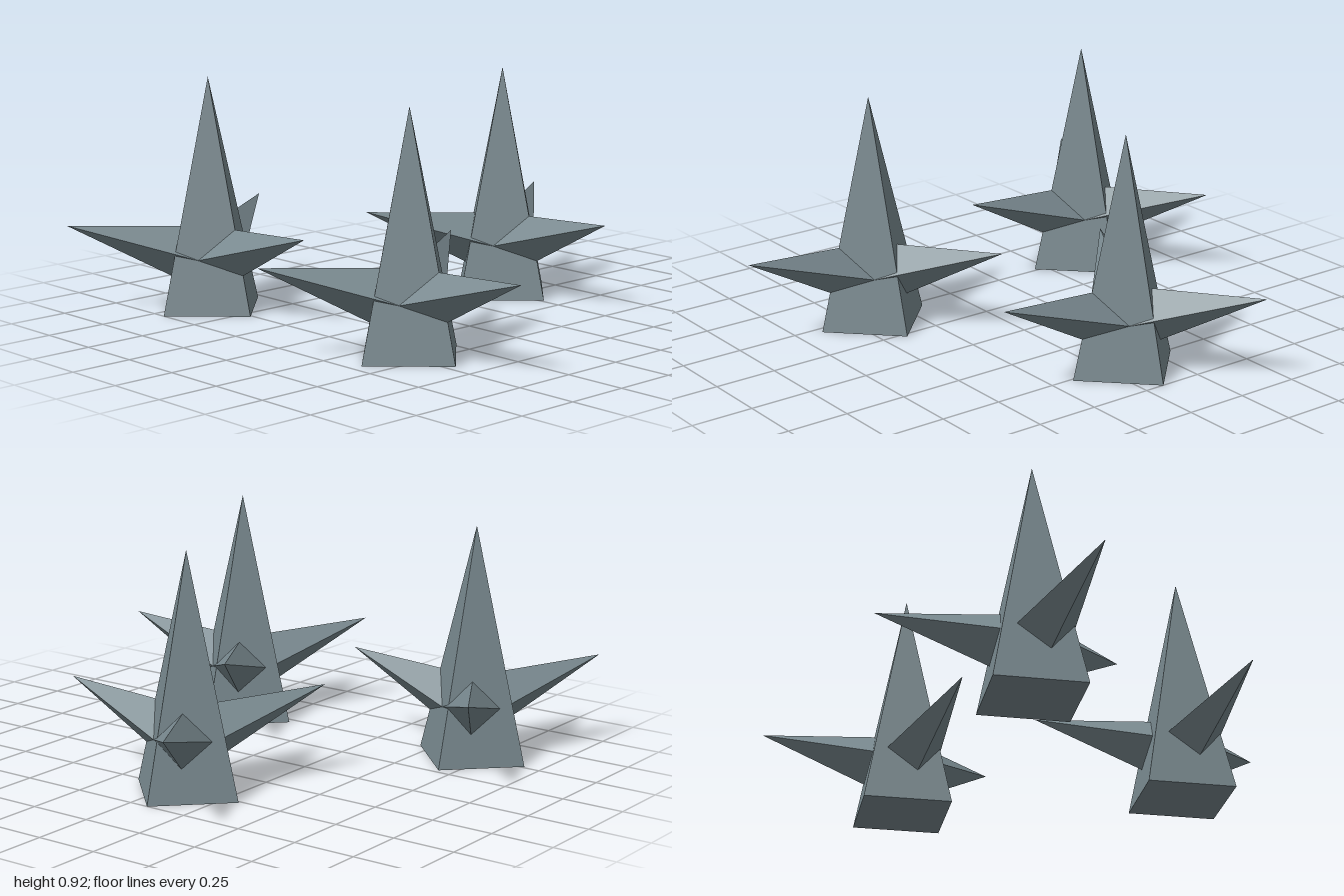
import * as THREE from 'three';

const material = new THREE.MeshStandardMaterial({ color: 0x77878d, flatShading: true });

// Four-sided spike standing on its base, corners on the x and z axes
function spike(name, radius, height) {
  const geometry = new THREE.ConeGeometry(radius, height, 4);
  geometry.translate(0, height / 2, 0);
  const mesh = new THREE.Mesh(geometry, material);
  mesh.name = name;
  return mesh;
}

// One tall spike with three slanted thorns around it
function spikeCluster() {
  const cluster = new THREE.Group();
  cluster.name = 'spikeCluster';
  cluster.add(spike('mainSpike', 0.24, 0.922));

  const reach = 0.563, startY = 0.196, tipY = 0.355;
  const rise = tipY - startY;
  const length = Math.hypot(reach, rise);
  for (let i = 0; i < 3; i++) {
    const thorn = spike('sideThorn', 0.133, length);
    thorn.position.y = startY;
    // Lean outward first, then turn about the main spike
    thorn.rotation.order = 'YZX';
    thorn.rotation.z = Math.atan2(rise, reach) - Math.PI / 2;
    thorn.rotation.y = (i * Math.PI * 2) / 3;
    cluster.add(thorn);
  }
  return cluster;
}

export function createModel() {
  const model = new THREE.Group();
  model.name = 'spikeTrap';
  for (const [x, z] of [[-0.688, 0.512], [-0.08, -0.512], [0.405, 0.464]]) {
    const cluster = spikeCluster();
    cluster.position.set(x, 0, z);
    model.add(cluster);
  }
  return model;
}
